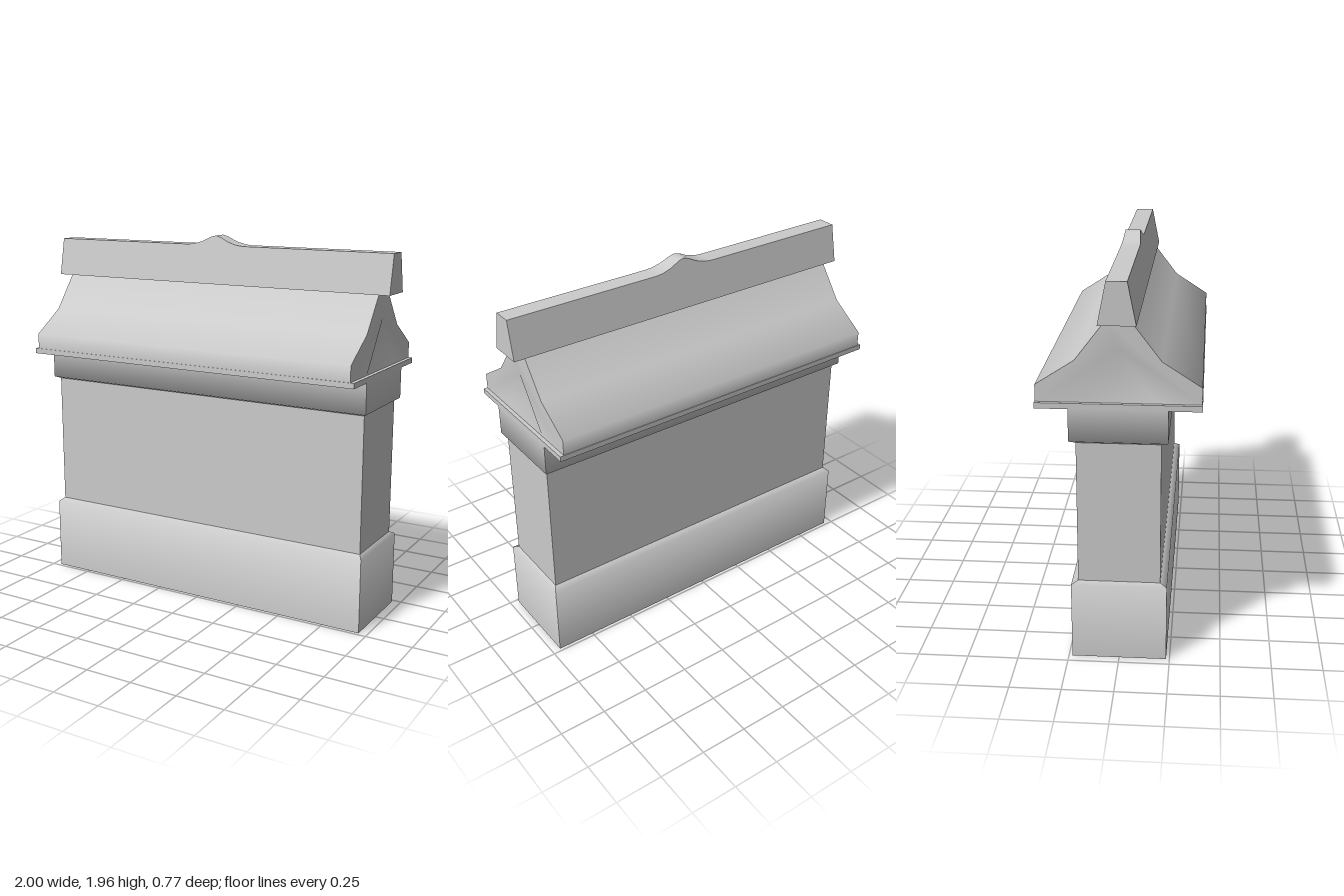
import * as THREE from 'three';
import { toCreasedNormals } from 'three/addons/utils/BufferGeometryUtils.js';

const material = new THREE.MeshStandardMaterial({ color: 0xcccccc, side: THREE.DoubleSide });

function add(group, name, geometry) {
  const mesh = new THREE.Mesh(geometry, material);
  mesh.name = name;
  group.add(mesh);
  return mesh;
}

// One wall facing local +z through rows [halfWidth, y, z], listed bottom to top, smooth along its height
function strip(rows) {
  const slopes = rows.slice(1).map(([, y, z], i) =>
    new THREE.Vector3(0, rows[i][2] - z, y - rows[i][1]).normalize()
      .applyMatrix3(new THREE.Matrix3().set(1, 0, 0, 0, 1, 0, 0, 0, 1)));
  const pos = [], nor = [], index = [];
  rows.forEach(([w, y, z], i) => {
    // segment direction (0, dy, dz) has outward normal (0, -dz, dy)
    const n = new THREE.Vector3();
    if (i > 0) n.add(slopes[i - 1]);
    if (i < slopes.length) n.add(slopes[i]);
    n.normalize();
    pos.push(-w, y, z, w, y, z);
    nor.push(n.x, n.y, n.z, n.x, n.y, n.z);
    if (i > 0) {
      const a = 2 * i - 2;
      index.push(a, a + 1, a + 3, a, a + 3, a + 2);
    }
  });
  const g = new THREE.BufferGeometry();
  g.setAttribute('position', new THREE.Float32BufferAttribute(pos, 3));
  g.setAttribute('normal', new THREE.Float32BufferAttribute(nor, 3));
  g.setIndex(index);
  return g;
}

// Four moulded walls around a rectangle, rows [halfX, y, halfZ]
function mouldedBlock(name, rows) {
  const block = new THREE.Group();
  block.name = name;
  const ends = rows.map(([x, y, z]) => [z, y, x]);
  for (let i = 0; i < 4; i++) {
    add(block, name + 'Side', strip(i % 2 ? ends : rows)).rotation.y = i * Math.PI / 2;
  }
  return block;
}

// Gable end facing +z with a shallow pyramidal recess
function gableGeometry(profile) {
  const v2 = ([u, v]) => new THREE.Vector2(u, v);
  const right = profile.map(v2);
  const left = profile.map(([u, v]) => v2([-u, v])).reverse();
  const outline = [...right, ...left];
  const hole = [[-0.18, 1.335], [0.18, 1.335], [0, 1.59]].map(v2);
  const index = THREE.ShapeUtils.triangulateShape(outline, [hole]).flat();
  const n = outline.length;
  for (let i = 0; i < 3; i++) index.push(n + i, n + (i + 1) % 3, n + 3);
  const pos = [...outline, ...hole].flatMap((p) => [p.x, p.y, 0]);
  pos.push(0, 1.42, -0.08);
  const g = new THREE.BufferGeometry();
  g.setAttribute('position', new THREE.Float32BufferAttribute(pos, 3));
  g.setIndex(index);
  g.computeVertexNormals();
  return g;
}

// Ridge beam: front outline with a small central peak, narrowing upward
function ridgeGeometry() {
  const bump = [[0.17, 1.91], [0.13, 1.914], [0.08, 1.928], [0.03, 1.952]];
  const points = [[-1, 1.71], [1, 1.71], [1, 1.91], ...bump, [0, 1.96],
    ...bump.map(([x, y]) => [-x, y]).reverse(), [-1, 1.91]];
  const shape = new THREE.Shape(points.map(([x, y]) => new THREE.Vector2(x, y)));
  const g = new THREE.ExtrudeGeometry(shape, { depth: 1, bevelEnabled: false });
  const p = g.attributes.position;
  for (let i = 0; i < p.count; i++) {
    const half = 0.088 - (p.getY(i) - 1.71) * 0.2;
    p.setZ(i, (p.getZ(i) - 0.5) * 2 * half);
  }
  return toCreasedNormals(g, 0.6);
}

export function createModel() {
  const model = new THREE.Group();
  model.name = 'roofedWall';

  // Plinth, open underneath, with a chamfered top
  model.add(mouldedBlock('plinth', [[0.955, 0, 0.233], [0.955, 0.395, 0.233], [0.935, 0.412, 0.2]]));
  // Plain wall body
  model.add(mouldedBlock('wall', [[0.935, 0.41, 0.2], [0.935, 1.135, 0.2]]));
  // Neck moulding under the eaves
  model.add(mouldedBlock('neck', [[0.935, 1.13, 0.2], [0.955, 1.142, 0.232], [0.955, 1.305, 0.232]]));

  // Thin eaves slab
  add(model, 'eaves', new THREE.BoxGeometry(1.91, 0.028, 0.775)).position.y = 1.315;

  // Flared roof slopes and recessed gables
  const profile = [[0.385, 1.328], [0.385, 1.41], [0.2, 1.53], [0.055, 1.72]];
  const slope = strip(profile.map(([z, y]) => [0.935, y, z]));
  const gable = gableGeometry(profile);
  for (const s of [1, -1]) {
    add(model, 'roofSlope', slope).rotation.y = s > 0 ? 0 : Math.PI;
    const end = add(model, 'gable', gable);
    end.rotation.y = s * Math.PI / 2;
    end.position.x = s * 0.935;
  }

  add(model, 'ridge', ridgeGeometry());
  return model;
}
